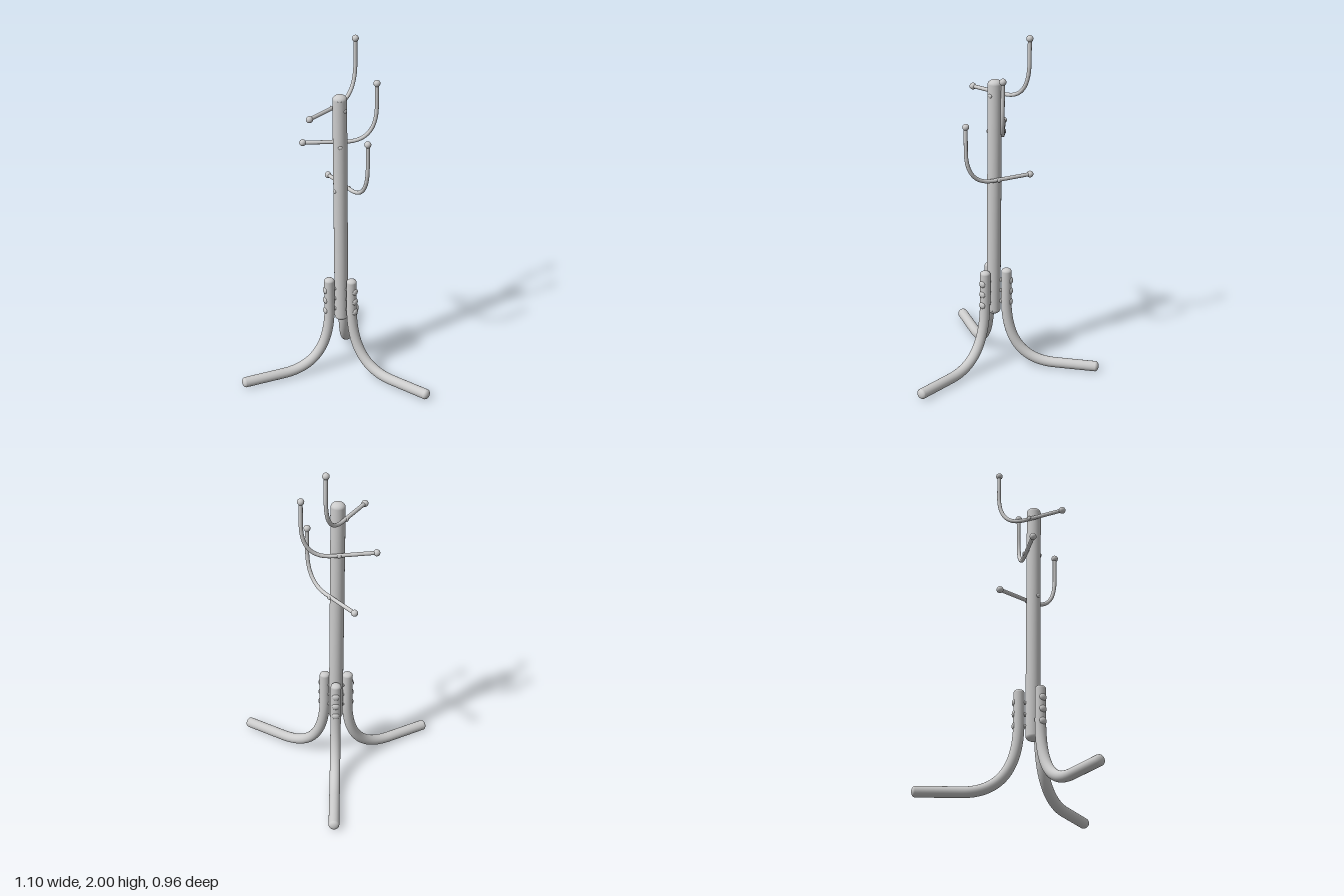
import * as THREE from 'three';

const material = new THREE.MeshStandardMaterial({ color: 0xcccccc });
const V = (x, y, z = 0) => new THREE.Vector3(x, y, z);
const UP = V(0, 1, 0);

function add(parent, name, geometry, position = V(0, 0)) {
  const mesh = new THREE.Mesh(geometry, material);
  mesh.name = name;
  mesh.position.copy(position);
  parent.add(mesh);
  return mesh;
}

// Flattened dome whose rim sits at a point and bulges along a direction
function dome(parent, name, radius, depth, position, direction) {
  const geometry = new THREE.SphereGeometry(radius, 24, 8, 0, Math.PI * 2, 0, Math.PI / 2);
  geometry.scale(1, depth / radius, 1);
  const mesh = add(parent, name, geometry, position);
  mesh.quaternion.setFromUnitVectors(UP, direction);
  return mesh;
}

// Cylinder lying along local x between two distances
function rod(parent, name, radius, from, to, y, z = 0) {
  const geometry = new THREE.CylinderGeometry(radius, radius, to - from, 16);
  geometry.rotateZ(Math.PI / 2);
  return add(parent, name, geometry, V((from + to) / 2, y, z));
}

// Straight, quarter bend, straight
function bentPath(start, bendStart, corner, bendEnd, end) {
  const path = new THREE.CurvePath();
  path.add(new THREE.LineCurve3(start, bendStart));
  path.add(new THREE.QuadraticBezierCurve3(bendStart, corner, bendEnd));
  path.add(new THREE.LineCurve3(bendEnd, end));
  return path;
}

// Leg runs outward along local +x
function createLeg() {
  const leg = new THREE.Group();
  leg.name = 'leg';
  const r = 0.03, top = V(0.075, 0.59), tip = V(0.608, 0.031);
  const path = bentPath(top, V(0.075, 0.42), V(0.075, 0.031), V(0.37, 0.031), tip);
  add(leg, 'legTube', new THREE.TubeGeometry(path, 72, r, 24));
  dome(leg, 'legTopCap', r, 0.02, top, UP);
  dome(leg, 'legTipCap', r, 0.02, tip, V(1, 0));
  for (const y of [0.4, 0.468, 0.534]) {
    rod(leg, 'legBolt', 0.012, 0.02, 0.103, y);
    dome(leg, 'legBoltHead', 0.021, 0.013, V(0.1, y), V(1, 0));
  }
  return leg;
}

// Hook lies in a plane beside the pole, turned up at its +x end
function createHook() {
  const hook = new THREE.Group();
  hook.name = 'hook';
  const z = -0.047, low = V(-0.205, 0, z), high = V(0.205, 0.34, z);
  const path = bentPath(low, V(0.03, 0, z), V(0.205, 0, z), V(0.205, 0.21, z), high);
  add(hook, 'hookTube', new THREE.TubeGeometry(path, 64, 0.011, 16));
  for (const end of [low, high]) add(hook, 'hookBall', new THREE.SphereGeometry(0.019, 24, 16), end);
  const bolt = new THREE.CylinderGeometry(0.008, 0.008, 0.098, 16);
  bolt.rotateX(Math.PI / 2);
  add(hook, 'hookBolt', bolt, V(0, 0, -0.01));
  dome(hook, 'hookBoltHead', 0.012, 0.007, V(0, 0, -0.057), V(0, 0, -1));
  dome(hook, 'hookBoltEnd', 0.012, 0.007, V(0, 0, 0.038), V(0, 0, 1));
  return hook;
}

export function createModel() {
  const model = new THREE.Group();
  model.name = 'coatStand';
  const stand = new THREE.Group();
  stand.name = 'stand';
  stand.position.z = -0.15;
  model.add(stand);

  // Pole with rounded ends
  const bottom = 0.345, top = 1.705;
  add(stand, 'pole', new THREE.CylinderGeometry(0.04, 0.04, top - bottom, 32, 1, true), V(0, (top + bottom) / 2));
  dome(stand, 'poleTop', 0.04, 0.028, V(0, top), UP);
  dome(stand, 'poleBottom', 0.04, 0.028, V(0, bottom), V(0, -1));

  // Three legs, one facing the front
  for (let i = 0; i < 3; i++) {
    const leg = createLeg();
    leg.rotation.y = -Math.PI / 2 + (i * Math.PI * 2) / 3;
    stand.add(leg);
  }

  // Hooks spiral down the pole
  for (const [y, degrees] of [[1.645, 0], [1.435, 50], [1.162, 110]]) {
    const hook = createHook();
    hook.position.y = y;
    hook.rotation.y = -THREE.MathUtils.degToRad(degrees);
    stand.add(hook);
  }
  return model;
}
